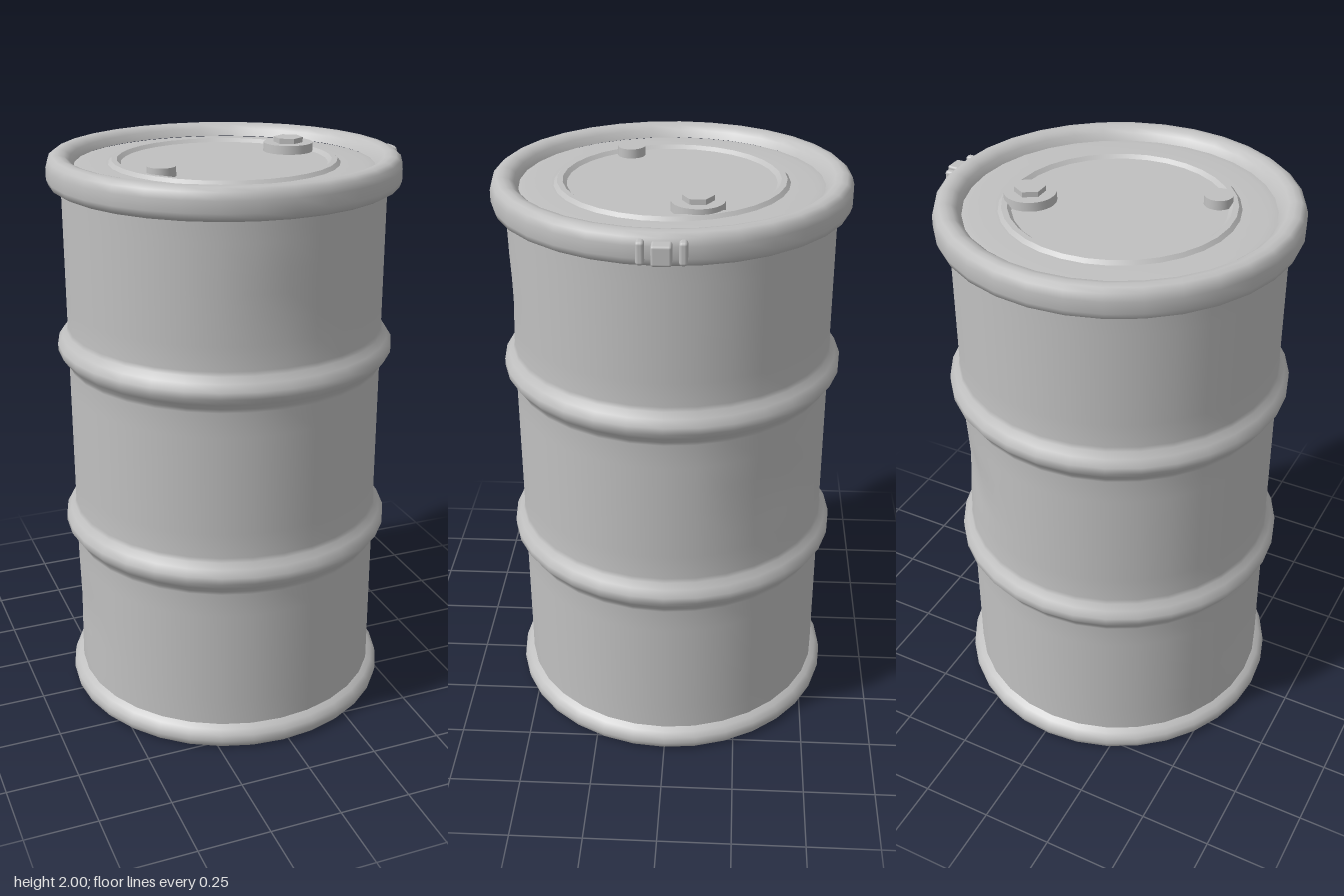
import * as THREE from 'three';
import { mergeVertices } from 'three/addons/utils/BufferGeometryUtils.js';
import { RoundedBoxGeometry } from 'three/addons/geometries/RoundedBoxGeometry.js';

const SIDES = 32;
const steel = new THREE.MeshStandardMaterial({ color: 0xc0c0c0 });
steel.name = 'grey steel';

function part(name, geometry, x = 0, y = 0, z = 0) {
  const mesh = new THREE.Mesh(geometry, steel);
  mesh.name = name;
  mesh.position.set(x, y, z);
  return mesh;
}

// Profile points are [radius, height], listed bottom to top on the outside
function lathe(points, sides = SIDES) {
  return new THREE.LatheGeometry(points.map(([r, y]) => new THREE.Vector2(r, y)), sides);
}

// Shallow dents in the shell: angle from +z towards +x, height, depth
const dents = [
  { angle: Math.PI * 0.75, y: 1.0, depth: 0.022 },
  { angle: 0.05, y: 1.58, depth: 0.01 },
  { angle: -Math.PI * 0.5, y: 0.34, depth: 0.008 },
];

function dentShell(geometry) {
  geometry.deleteAttribute('uv');
  geometry.deleteAttribute('normal');
  const shell = mergeVertices(geometry, 1e-4);
  const pos = shell.attributes.position;
  for (let i = 0; i < pos.count; i++) {
    const x = pos.getX(i), y = pos.getY(i), z = pos.getZ(i);
    const r = Math.hypot(x, z);
    let push = 0;
    for (const d of dents) {
      const turn = Math.atan2(x, z) - d.angle;
      const a = Math.atan2(Math.sin(turn), Math.cos(turn)) / 0.25;
      const h = (y - d.y) / 0.13;
      push += d.depth * Math.exp(-a * a - h * h);
    }
    pos.setXYZ(i, x * (1 - push / r), y, z * (1 - push / r));
  }
  shell.computeVertexNormals();
  return shell;
}

export function createModel() {
  const model = new THREE.Group();
  model.name = 'drum';
  const barrel = new THREE.Group();
  barrel.name = 'barrel';
  barrel.position.x = -0.02;
  model.add(barrel);

  // Shell with two rolling hoops
  const profile = [[0.55, 0.07]];
  const wall = (from, to) => {
    for (let i = 0; i <= 6; i++) profile.push([0.55, from + (to - from) * i / 6]);
  };
  const hoop = (y) => profile.push(
    [0.555, y - 0.055], [0.57, y - 0.035], [0.586, y - 0.012],
    [0.586, y + 0.012], [0.57, y + 0.035], [0.555, y + 0.055]);
  wall(0.09, 0.6);
  hoop(0.67);
  wall(0.74, 1.26);
  hoop(1.33);
  wall(1.4, 1.89);
  barrel.add(part('shell', dentShell(lathe(profile))));

  // Bottom chime and recessed base
  barrel.add(part('bottomChime', lathe([
    [0.535, 0.035], [0.54, 0.012], [0.555, 0.001], [0.572, 0.002], [0.583, 0.014],
    [0.587, 0.032], [0.583, 0.052], [0.568, 0.068], [0.549, 0.08],
  ])));
  barrel.add(part('base', lathe([[0, 0.045], [0.49, 0.045], [0.52, 0.042], [0.536, 0.034]])));

  // Rolled clamp ring around the lid
  barrel.add(part('clampRing', lathe([
    [0.548, 1.885], [0.572, 1.882], [0.59, 1.892], [0.597, 1.912], [0.597, 1.95],
    [0.59, 1.975], [0.575, 1.987], [0.555, 1.99], [0.535, 1.985], [0.518, 1.972], [0.505, 1.948],
  ])));

  // Lid, with a raised bead
  barrel.add(part('lid', lathe([[0.51, 1.946], [0.48, 1.951], [0.388, 1.953], [0, 1.953]])));
  const bead = [[0.391, 1.952], [0.379, 1.965], [0.36, 1.965], [0.346, 1.952]];
  for (let i = 0; i < 3; i++) barrel.add(part('lidBead', lathe([bead[i], bead[i + 1]])));

  // Large bung with hexagonal head, and small vent cap
  model.add(part('bungFlange', new THREE.CylinderGeometry(0.085, 0.087, 0.035, 32), 0.255, 1.965, -0.095));
  const head = new THREE.CylinderGeometry(0.051, 0.051, 0.03, 6).toNonIndexed();
  head.computeVertexNormals();
  model.add(part('bungHead', head, 0.255, 1.985, -0.095));
  model.add(part('ventCap', new THREE.CylinderGeometry(0.047, 0.048, 0.035, 24), -0.295, 1.967, 0.155));

  // Bolt block between two lugs on the clamp ring
  model.add(part('clampBolt', new RoundedBoxGeometry(0.06, 0.064, 0.062, 2, 0.008), 0.584, 1.934, 0));
  for (const side of [-1, 1]) {
    model.add(part('clampLug', new RoundedBoxGeometry(0.05, 0.074, 0.026, 2, 0.01), 0.57, 1.934, side * 0.064));
  }
  return model;
}
